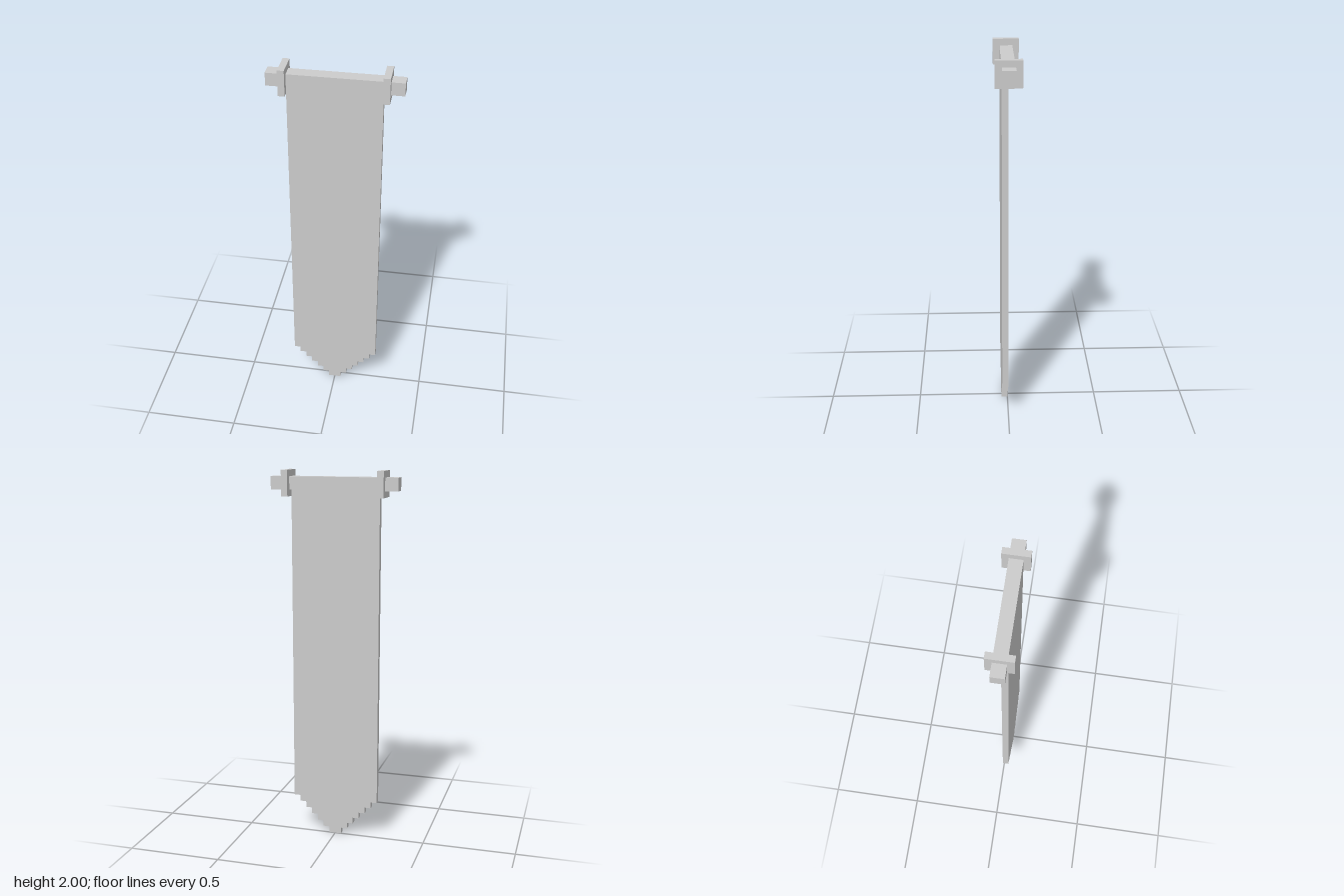
import * as THREE from 'three';

const U = 2 / 59; // one block of the grid everything is built on

export function createModel() {
  const group = new THREE.Group();
  const material = new THREE.MeshStandardMaterial({ color: 0xcccccc, flatShading: true });

  const add = (name, geometry, x, y, z) => {
    const mesh = new THREE.Mesh(geometry, material);
    mesh.name = name;
    mesh.position.set(x, y, z);
    group.add(mesh);
  };

  // Cloth: a flat panel whose lower end steps down to a point, hanging from the rod
  const steps = 6;
  const right = [];
  for (let i = 0; i <= steps; i++) {
    right.push([(i + 1) * U, i * U]);
    right.push([(i + 1) * U, (i < steps ? i + 1 : 56) * U]);
  }
  const left = right.map(([x, y]) => [-x, y]).reverse();
  const outline = new THREE.Shape([...right, ...left].map(([x, y]) => new THREE.Vector2(x, y)));
  add('cloth', new THREE.ExtrudeGeometry(outline, { depth: U, bevelEnabled: false }), 0, 0, 0);

  // Square rod, its front flush with the cloth
  add('rod', new THREE.BoxGeometry(20 * U, 2 * U, 2 * U), 0, 57 * U, 0);

  // Square collars on either side of the cloth
  for (const side of [-1, 1]) {
    add(side > 0 ? 'leftCollar' : 'rightCollar',
      new THREE.BoxGeometry(U, 4 * U, 4 * U), side * 7.5 * U, 57 * U, 0);
  }

  return group;
}
